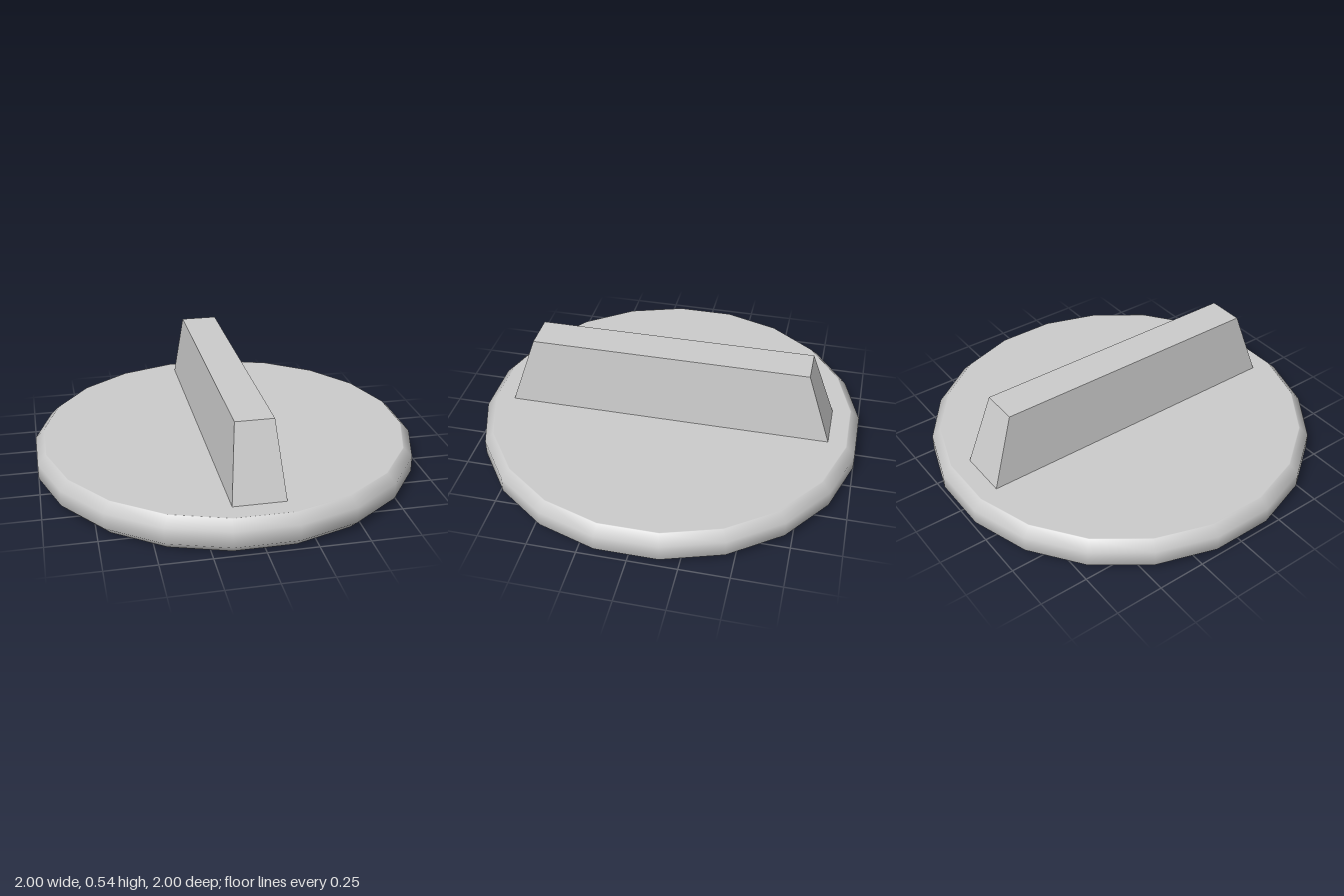
import * as THREE from 'three';

const SIDES = 20;
const DISC_TOP = 0.172;
const HANDLE_TOP = 0.543;

// Chamfered 20-sided disc, with flats facing the x and z axes
function createBase(material) {
  const k = 1 / Math.cos(Math.PI / SIDES); // flat distance to corner radius
  const c = 0.045;
  const profile = [
    [0, 0], [0.95, 0], [1 - c, 0], [1, c],
    [1, DISC_TOP - c], [1 - c, DISC_TOP], [0.95, DISC_TOP], [0, DISC_TOP],
  ].map(([r, y]) => new THREE.Vector2(r * k, y));
  const base = new THREE.Mesh(
    new THREE.LatheGeometry(profile, SIDES, Math.PI / SIDES), material);
  base.name = 'baseDisc';
  return base;
}

// Long grip bar, tapering upwards on all four sides
function createHandle(material) {
  const height = HANDLE_TOP - DISC_TOP;
  const geometry = new THREE.BoxGeometry(0.264, height, 1.708);
  const p = geometry.attributes.position;
  for (let i = 0; i < p.count; i++) {
    if (p.getY(i) > 0) {
      p.setX(i, Math.sign(p.getX(i)) * 0.096);
      p.setZ(i, Math.sign(p.getZ(i)) * 0.727);
    }
  }
  geometry.computeVertexNormals();
  const handle = new THREE.Mesh(geometry, material);
  handle.position.set(-0.002, DISC_TOP + height / 2, -0.002);
  handle.name = 'gripBar';
  return handle;
}

export function createModel() {
  const material = new THREE.MeshStandardMaterial({ color: 0xcccccc });
  const model = new THREE.Group();
  model.name = 'knob';
  model.add(createBase(material), createHandle(material));
  return model;
}
